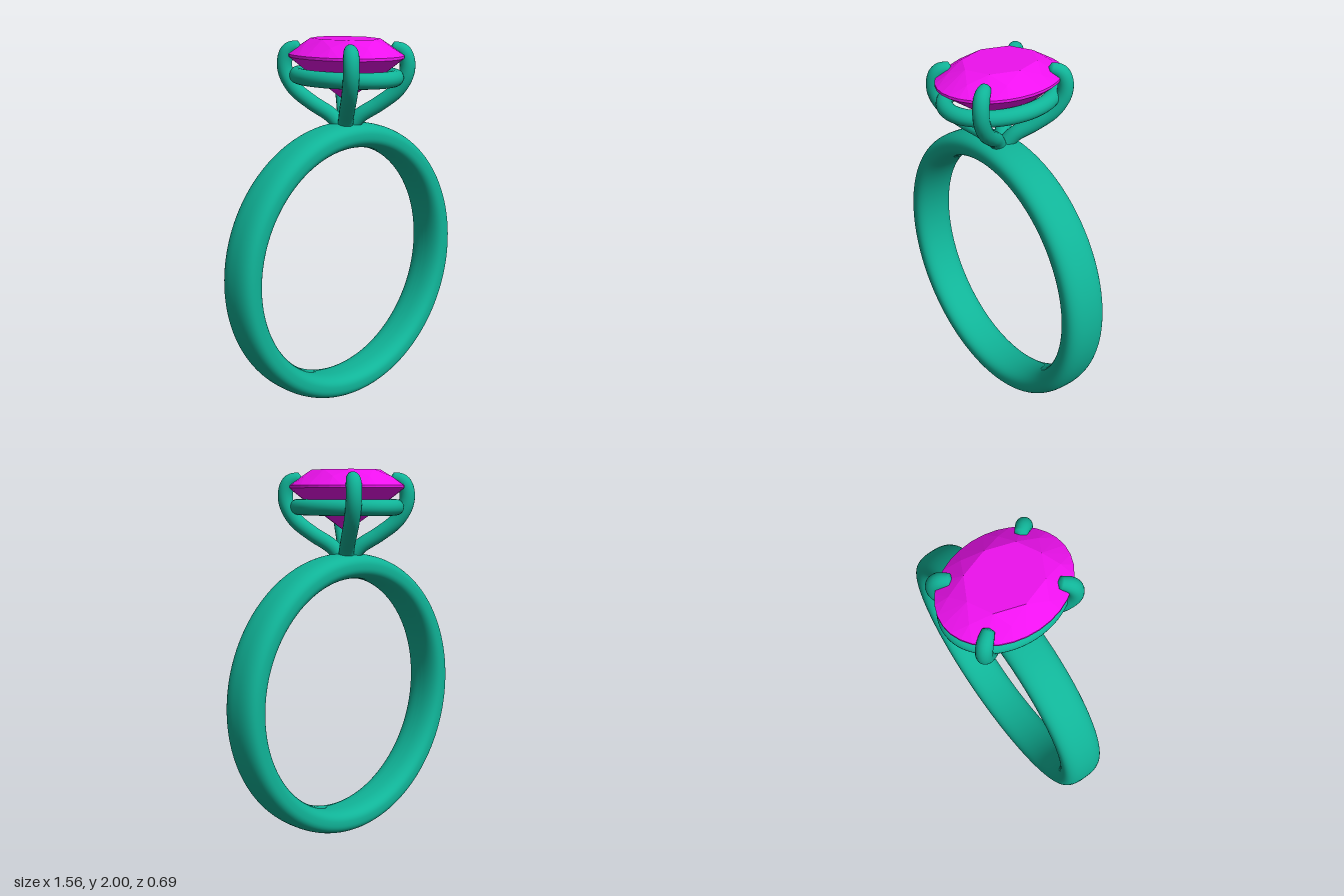
import * as THREE from 'three';
import { mergeVertices } from 'three/addons/utils/BufferGeometryUtils.js';
import { ConvexGeometry } from 'three/addons/geometries/ConvexGeometry.js';

const metal = new THREE.MeshStandardMaterial({ color: 0x10b498 });
const stone = new THREE.MeshStandardMaterial({ color: 0xee11ee, flatShading: true });

const GEM_X = 0.27, GEM_Z = 0.345;

function addMesh(parent, name, geometry, material) {
  const mesh = new THREE.Mesh(geometry, material);
  mesh.name = name;
  parent.add(mesh);
  return mesh;
}

// Softly squared cross-section swept round the finger axis
function bandGeometry() {
  const profile = [];
  const n = 56, e = 2 / 2.6;
  const soft = v => Math.sign(v) * Math.abs(v) ** e;
  for (let i = 0; i <= n; i++) {
    const a = -Math.PI + (i / n) * Math.PI * 2;
    profile.push(new THREE.Vector2(0.71 + 0.068 * soft(Math.cos(a)), 0.115 * soft(Math.sin(a))));
  }
  return new THREE.LatheGeometry(profile, 128).rotateX(Math.PI / 2);
}

// Tube whose radius follows a rule along the path
function taperedTube(path, steps, sides, radiusAt) {
  const geo = new THREE.TubeGeometry(path, steps, 1, sides);
  const pos = geo.attributes.position;
  const v = new THREE.Vector3();
  for (let i = 0; i <= steps; i++) {
    const c = path.getPointAt(i / steps);
    const r = radiusAt(i / steps);
    for (let j = 0; j <= sides; j++) {
      const k = i * (sides + 1) + j;
      v.fromBufferAttribute(pos, k).sub(c).multiplyScalar(r).add(c);
      pos.setXYZ(k, v.x, v.y, v.z);
    }
  }
  geo.deleteAttribute('uv');
  geo.deleteAttribute('normal');
  const merged = mergeVertices(geo, 1e-5);
  merged.computeVertexNormals();
  return merged;
}

// Claw rising from the band and hooking over the gem
function prongGeometry(sx, sz) {
  const points = [
    [0.015, 1.53, 0.015], [0.05, 1.594, 0.06], [0.115, 1.66, 0.14], [0.172, 1.735, 0.215],
    [0.199, 1.82, 0.255], [0.2, 1.89, 0.258], [0.185, 1.937, 0.24], [0.145, 1.96, 0.19],
  ].map(([x, y, z]) => new THREE.Vector3(x * sx, y, z * sz));
  const path = new THREE.CatmullRomCurve3(points);
  return taperedTube(path, 56, 20, t => {
    const s = Math.max(0, (t - 0.82) / 0.18);
    return 0.041 * Math.sqrt(Math.max(0, 1 - s * s * 0.6)) * (t > 0.999 ? 0.02 : 1);
  });
}

// Faceted oval brilliant, built as rings of corners: [count, turn, scale, y]
function gemGeometry() {
  const rings = [
    [8, 0, 0.6, 2.0],        // table
    [8, 0.5, 0.8, 1.963],    // crown
    [32, 0, 1, 1.918],       // girdle top
    [32, 0, 1, 1.904],       // girdle bottom
    [8, 0.5, 0.5, 1.778],    // pavilion
    [1, 0, 0, 1.67],         // culet
  ];
  const points = [];
  for (const [count, turn, scale, y] of rings) {
    for (let i = 0; i < count; i++) {
      const a = ((i + turn) / count) * Math.PI * 2;
      points.push(new THREE.Vector3(GEM_X * scale * Math.sin(a), y, GEM_Z * scale * Math.cos(a)));
    }
  }
  return new ConvexGeometry(points);
}

// Closed oval path for the gallery rail
class OvalCurve extends THREE.Curve {
  getPoint(t, target = new THREE.Vector3()) {
    const a = t * Math.PI * 2;
    return target.set(0.223 * Math.cos(a), 1.803, 0.302 * Math.sin(a));
  }
}

export function createModel() {
  const ring = new THREE.Group();
  ring.name = 'ring';

  addMesh(ring, 'band', bandGeometry(), metal).position.y = 0.778;

  const setting = new THREE.Group();
  setting.name = 'setting';
  ring.add(setting);

  addMesh(setting, 'galleryRail', new THREE.TubeGeometry(new OvalCurve(), 96, 0.042, 20, true), metal);
  for (const sx of [-1, 1]) {
    for (const sz of [-1, 1]) {
      const name = (sz > 0 ? 'front' : 'back') + (sx > 0 ? 'Left' : 'Right') + 'Prong';
      addMesh(setting, name, prongGeometry(sx, sz), metal);
    }
  }

  addMesh(ring, 'gem', gemGeometry(), stone);
  return ring;
}
